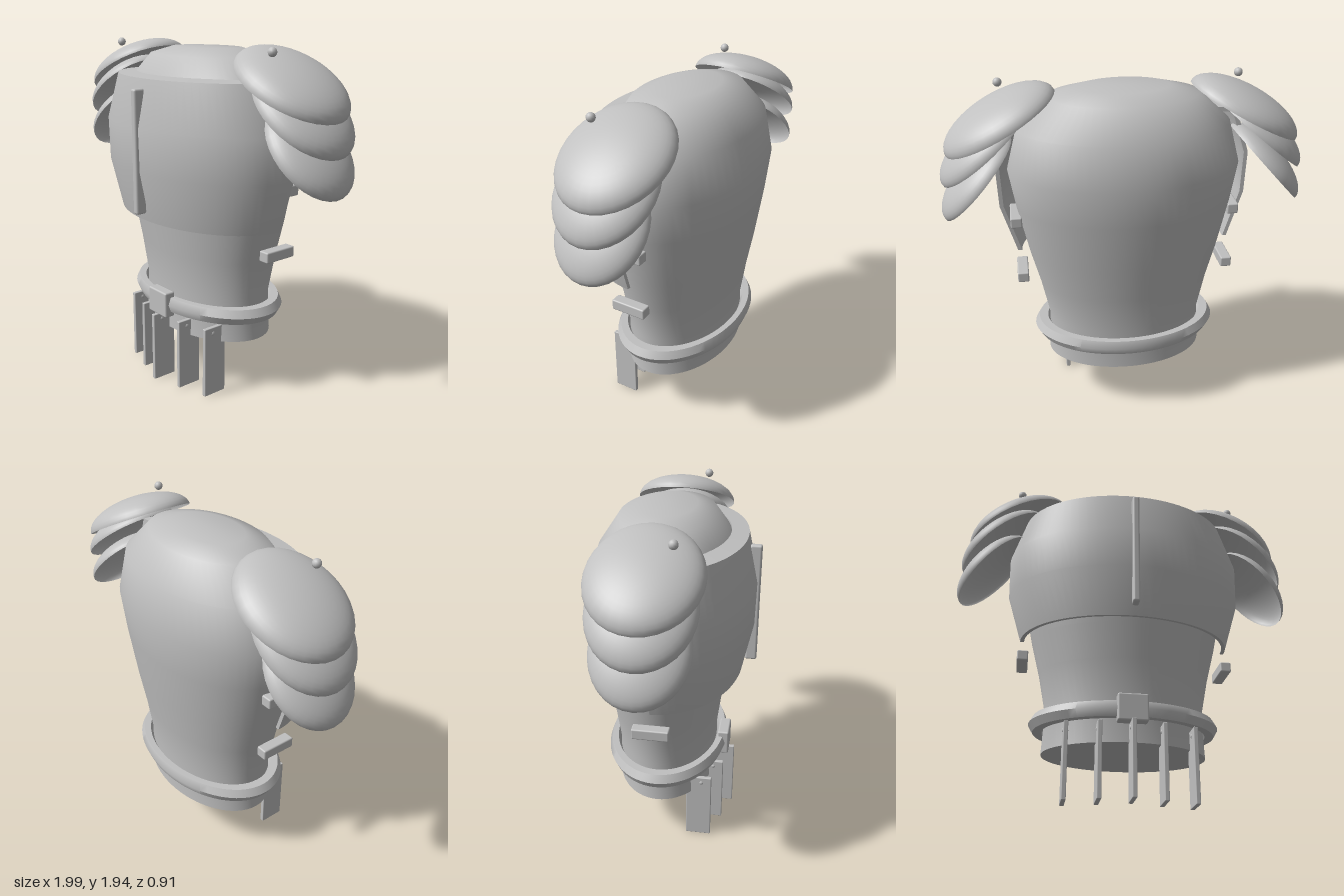
import * as THREE from 'three';
import { toCreasedNormals } from 'three/addons/utils/BufferGeometryUtils.js';
import { RoundedBoxGeometry } from 'three/addons/geometries/RoundedBoxGeometry.js';

const steel = new THREE.MeshStandardMaterial({ color: 0xc0c0c0, side: THREE.DoubleSide });
steel.name = 'steel';
const MID_Z = -0.045; // depth of the body axis

export function createModel() {
  const model = new THREE.Group();
  model.name = 'torsoArmour';

  const add = (name, geometry, x, y, z, parent = model) => {
    const mesh = new THREE.Mesh(geometry, steel);
    mesh.name = name;
    mesh.position.set(x, y, z);
    parent.add(mesh);
    return mesh;
  };
  const box = (name, w, h, d, x, y, z, r = 0.008) =>
    add(name, new RoundedBoxGeometry(w, h, d, 2, r), x, y, z);
  const points = (list) => list.map(([r, y]) => new THREE.Vector2(r, y));

  // Oval body, closed at top and bottom
  const body = new THREE.LatheGeometry(points([
    [0, 0.31], [0.458, 0.31], [0.445, 0.55], [0.49, 0.78], [0.54, 0.98], [0.6, 1.27],
    [0.633, 1.48], [0.57, 1.71], [0.4, 1.87], [0.24, 1.91], [0, 1.912],
  ]), 64);
  body.scale(1, 1, 0.64);
  add('body', toCreasedNormals(body, 0.8), 0, 0, MID_Z);

  // Front half shell with a ledge at the neck
  const shell = points([
    [0.585, 0.98], [0.607, 0.98], [0.69, 1.26], [0.697, 1.5], [0.615, 1.76],
    [0.48, 1.77], [0.48, 1.745], [0.595, 1.735], [0.675, 1.5], [0.668, 1.26], [0.585, 0.98],
  ]);
  const plate = new THREE.LatheGeometry(shell, 40, -Math.PI / 2, Math.PI);
  plate.scale(1, 1, 0.7);
  add('breastplate', toCreasedNormals(plate, 0.7), 0, 0, MID_Z);
  for (const s of [1, -1]) {
    const edge = new THREE.Shape(shell.map((p) => new THREE.Vector2(s * p.x, p.y)));
    add('breastplateEdge', new THREE.ShapeGeometry(edge), 0, 0, MID_Z);
  }
  box('centreRidge', 0.04, 0.68, 0.065, 0, 1.37, 0.427, 0.012);

  // Belt with a square buckle
  const belt = new THREE.TorusGeometry(0.485, 0.05, 6, 64);
  belt.rotateX(Math.PI / 2);
  belt.scale(1, 1, 0.66);
  add('belt', toCreasedNormals(belt, 0.8), 0, 0.48, MID_Z);
  box('buckle', 0.165, 0.15, 0.065, 0, 0.48, 0.292, 0.01);

  // Hanging strips, each with a rivet near the top
  for (let i = -2; i <= 2; i++) {
    const x = i * 0.171;
    const z = 0.283 - Math.abs(i) * 0.05;
    box('hangingStrip', 0.024, 0.41, 0.145, x, 0.205, z, 0.004);
    add('stripRivet', new THREE.SphereGeometry(0.017, 12, 8), x, 0.375, z + 0.015);
  }

  // Layered shoulder domes: centre x, centre y, tilt, size
  const layers = [
    [0.652, 1.745, 0.489, 1],
    [0.736, 1.62, 0.689, 0.93],
    [0.788, 1.436, 0.831, 0.857],
  ];
  for (const s of [1, -1]) {
    const shoulder = new THREE.Group();
    shoulder.name = s > 0 ? 'leftShoulder' : 'rightShoulder';
    model.add(shoulder);
    for (const [x, y, tilt, size] of layers) {
      const dome = new THREE.SphereGeometry(1, 32, 12, 0, Math.PI * 2, 0, Math.PI / 2);
      dome.scale(0.33 * size, 0.132 * size, 0.289 * size);
      add('shoulderLayer', dome, s * x, y, MID_Z, shoulder).rotation.z = -s * tilt;
    }
    add('shoulderRivet', new THREE.SphereGeometry(0.024, 12, 8), s * 0.65, 1.915, 0.09, shoulder);

    // Side straps
    box('lowerStrap', 0.063, 0.06, 0.2, s * 0.588, 0.855, MID_Z);
    box('upperStrap', 0.063, 0.06, 0.2, s * 0.605, 1.2, MID_Z);
  }
  return model;
}
